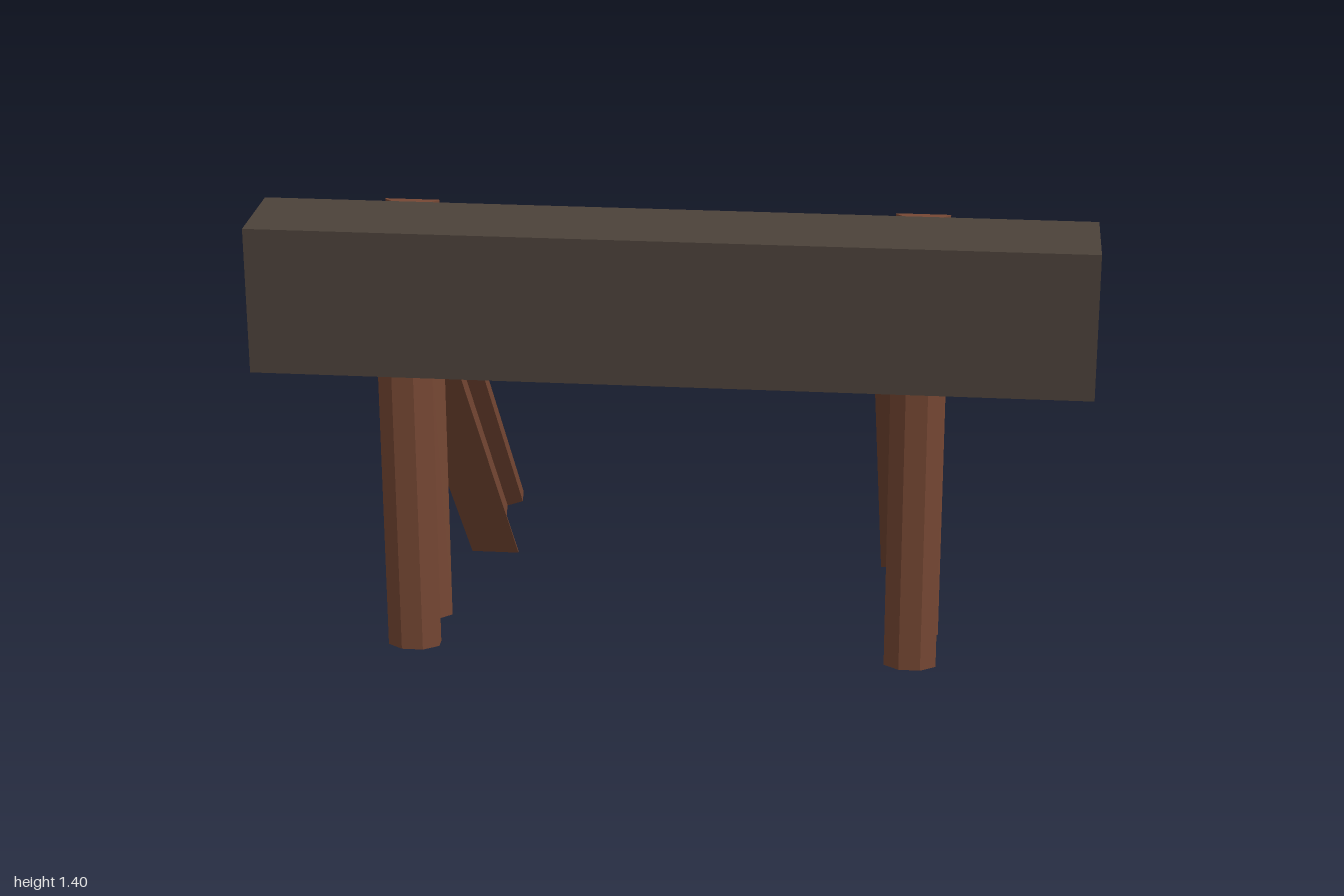
import * as THREE from 'three';

export function createModel() {
  const group = new THREE.Group();
  const rust = new THREE.MeshStandardMaterial({ color: 0x774834 });
  rust.name = 'rusty steel';
  const wood = new THREE.MeshStandardMaterial({ color: 0x4c423a });
  wood.name = 'dark timber';

  // Half of the rail cross-section, foot at v = 0 and head at v = 0.215
  const half = [
    [0.067, 0], [0.067, 0.004], [0.022, 0.045], [0.022, 0.145],
    [0.065, 0.16], [0.065, 0.19], [0.027, 0.215],
  ];
  const outline = [...half, ...half.map(([u, v]) => [-u, v]).reverse()];
  const section = new THREE.Shape(outline.map(([u, v]) => new THREE.Vector2(u, v)));

  // A length of rail, extruded along its local z
  function rail(name, length, tilt, x, y, z) {
    const geometry = new THREE.ExtrudeGeometry(section, { depth: length, bevelEnabled: false });
    const mesh = new THREE.Mesh(geometry, rust);
    mesh.name = name;
    mesh.rotation.x = tilt;
    mesh.position.set(x, y, z);
    group.add(mesh);
  }

  // Upright rails with sloping rail braces behind, slightly off the beam's middle
  const middle = -0.047;
  for (const [side, s] of [['left', 1], ['right', -1]]) {
    rail(side + 'Post', 1.13, Math.PI / 2, middle + s * 0.63, 1.34, 0.285);
    rail(side + 'Brace', 1.46, -0.792, middle + s * 0.589, 0, -0.57);
  }

  // Cross beam
  const beam = new THREE.Mesh(new THREE.BoxGeometry(2, 0.36, 0.242), wood);
  beam.name = 'crossBeam';
  beam.position.set(0, 1.217, 0.601);
  group.add(beam);

  return group;
}
